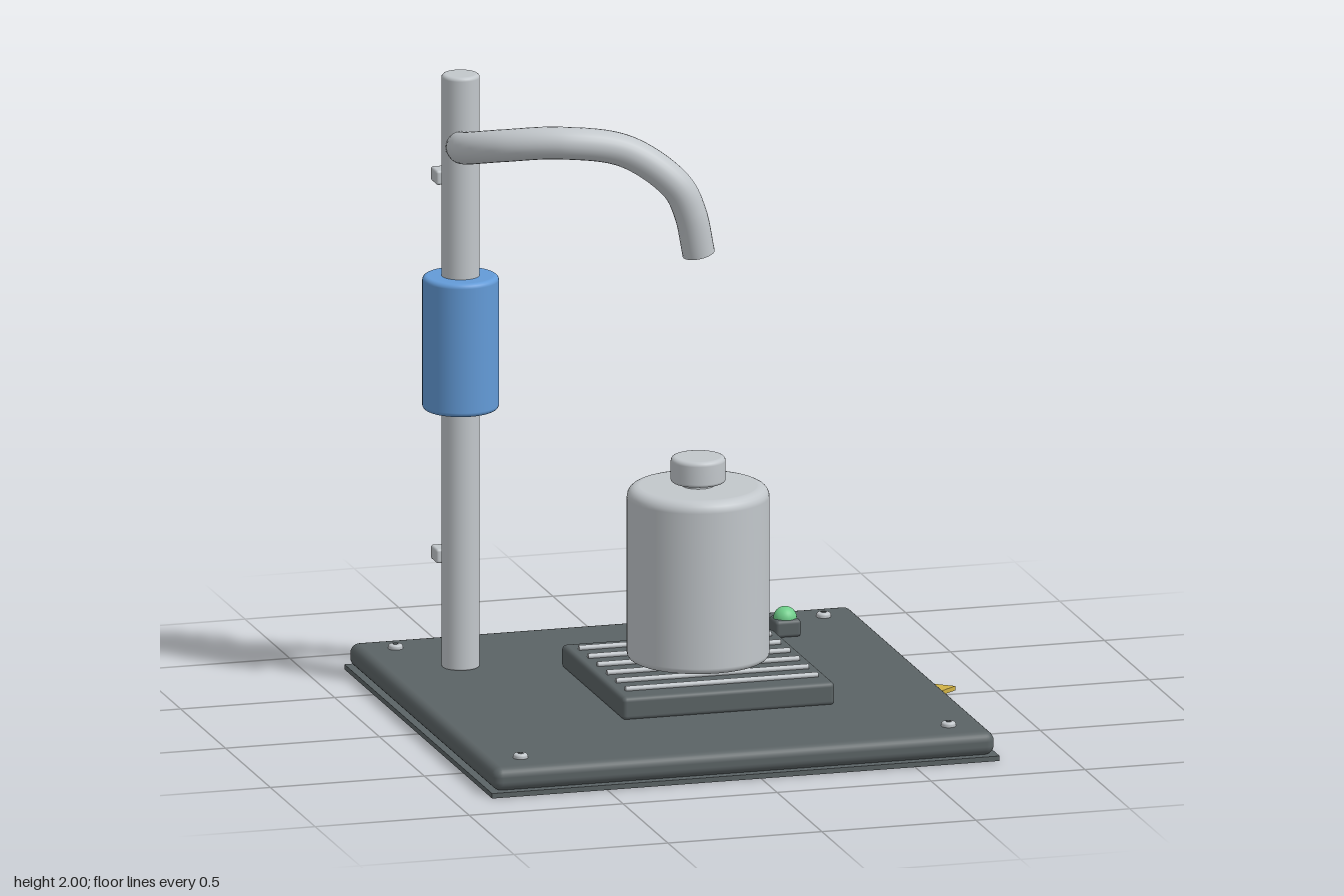
import * as THREE from 'three';
import { RoundedBoxGeometry } from 'three/addons/geometries/RoundedBoxGeometry.js';

const mat = (name, color) => Object.assign(new THREE.MeshStandardMaterial({ color }), { name });

export function createModel() {
  const root = new THREE.Group();
  root.name = 'drinkStation';
  const dark = mat('darkGrey', 0x5b6365);
  const light = mat('lightGrey', 0xc2c7cb);
  const blue = mat('blue', 0x639bd8);
  const green = mat('green', 0x70cf8b);
  const yellow = mat('yellow', 0xd0b145);

  const add = (name, geo, material, x = 0, y = 0, z = 0) => {
    const m = new THREE.Mesh(geo, material);
    m.name = name;
    m.position.set(x, y, z);
    root.add(m);
    return m;
  };
  const rbox = (w, h, d, r) => new RoundedBoxGeometry(w, h, d, 3, r);

  // Solid of revolution standing on y = 0, with rounded bottom and top edges
  const roundedDrum = (radius, height, rBottom, rTop, sides = 48) => {
    const pts = [new THREE.Vector2(0, 0), new THREE.Vector2((radius - rBottom) * 0.98, 0)];
    for (let i = 0; i <= 5; i++) {
      const a = (i / 5) * Math.PI / 2;
      pts.push(new THREE.Vector2(radius - rBottom + rBottom * Math.sin(a), rBottom - rBottom * Math.cos(a)));
    }
    for (let i = 0; i <= 5; i++) {
      const a = (i / 5) * Math.PI / 2;
      pts.push(new THREE.Vector2(radius - rTop + rTop * Math.cos(a), height - rTop + rTop * Math.sin(a)));
    }
    pts.push(new THREE.Vector2((radius - rTop) * 0.98, height), new THREE.Vector2(0, height));
    return new THREE.LatheGeometry(pts, sides);
  };

  // Base: thin foot plate with a rounded slab on top
  const cx = -0.05;
  add('footPlate', new THREE.BoxGeometry(1.648, 0.016, 1.648), dark, cx, 0.008, 0);
  add('baseSlab', rbox(1.63, 0.075, 1.63, 0.03), dark, cx, 0.0525, 0);

  // Corner screws
  for (const sx of [-1, 1]) for (const sz of [-1, 1]) {
    add('screw', roundedDrum(0.023, 0.016, 0.002, 0.008, 20), light, cx + sx * 0.695, 0.089, sz * 0.697);
    add('screwSocket', new THREE.CylinderGeometry(0.009, 0.009, 0.002, 6), dark, cx + sx * 0.695, 0.1055, sz * 0.697);
  }

  // Drip tray with six rails
  const bx = 0.035;
  add('tray', rbox(0.69, 0.075, 0.69, 0.015), dark, bx, 0.1235, 0);
  for (let i = 0; i < 6; i++) {
    const rail = add('trayRail', new THREE.CylinderGeometry(0.009, 0.009, 0.625, 12), light, bx, 0.167, (i - 2.5) * 0.104);
    rail.rotation.z = Math.PI / 2;
  }

  // Bottle
  add('bottle', roundedDrum(0.223, 0.555, 0.02, 0.035), light, bx, 0.18, 0);
  add('bottleNeck', new THREE.CylinderGeometry(0.05, 0.05, 0.03, 32), light, bx, 0.742, 0);
  add('bottleCap', roundedDrum(0.086, 0.082, 0.01, 0.014, 32), light, bx, 0.747, 0);

  // Pole, sleeve and rear clips
  const px = -0.61, pz = -0.435;
  add('pole', roundedDrum(0.06, 1.911, 0.006, 0.012, 32), light, px, 0.089, pz);
  add('sleeve', roundedDrum(0.12, 0.43, 0.015, 0.015), blue, px, 0.92, pz);
  for (const y of [0.437, 1.047, 1.657]) {
    add('clip', rbox(0.134, 0.046, 0.07, 0.008), light, px, y, -0.507);
  }

  // Curved spout arm with a closed tip
  const path = new THREE.CatmullRomCurve3([
    [-0.61, 1.765, -0.43], [-0.632, 1.80, -0.28], [-0.55, 1.835, -0.15], [-0.39, 1.853, -0.065],
    [-0.19, 1.82, -0.03], [-0.04, 1.71, 0.01], [0.005, 1.62, 0.012], [0.036, 1.483, 0.003],
  ].map(p => new THREE.Vector3(...p)));
  add('spoutArm', new THREE.TubeGeometry(path, 80, 0.051, 24), light);
  const tip = add('spoutTip', new THREE.CircleGeometry(0.051, 24), light);
  tip.position.copy(path.getPoint(1));
  tip.quaternion.setFromUnitVectors(new THREE.Vector3(0, 0, 1), path.getTangent(1));

  // Hanging ring on the arm
  const ring = add('ring', new THREE.TorusGeometry(0.07, 0.012, 12, 40), blue, -0.226, 1.83, -0.093);
  ring.rotation.x = Math.PI / 2;

  // Push button
  add('buttonHousing', rbox(0.084, 0.056, 0.084, 0.012), dark, 0.47, 0.116, -0.525);
  add('button', new THREE.SphereGeometry(0.037, 24, 10, 0, Math.PI * 2, 0, Math.PI / 2), green, 0.47, 0.143, -0.525);

  // Flat arrow head at the side of the base
  const arrow = new THREE.Shape([[0.87, 0], [0.765, 0.083], [0.805, 0], [0.765, -0.083]]
    .map(p => new THREE.Vector2(...p)));
  const head = add('arrow', new THREE.ExtrudeGeometry(arrow, { depth: 0.014, bevelEnabled: false }), yellow, 0, 0.012, 0);
  head.rotation.x = -Math.PI / 2;

  return root;
}
